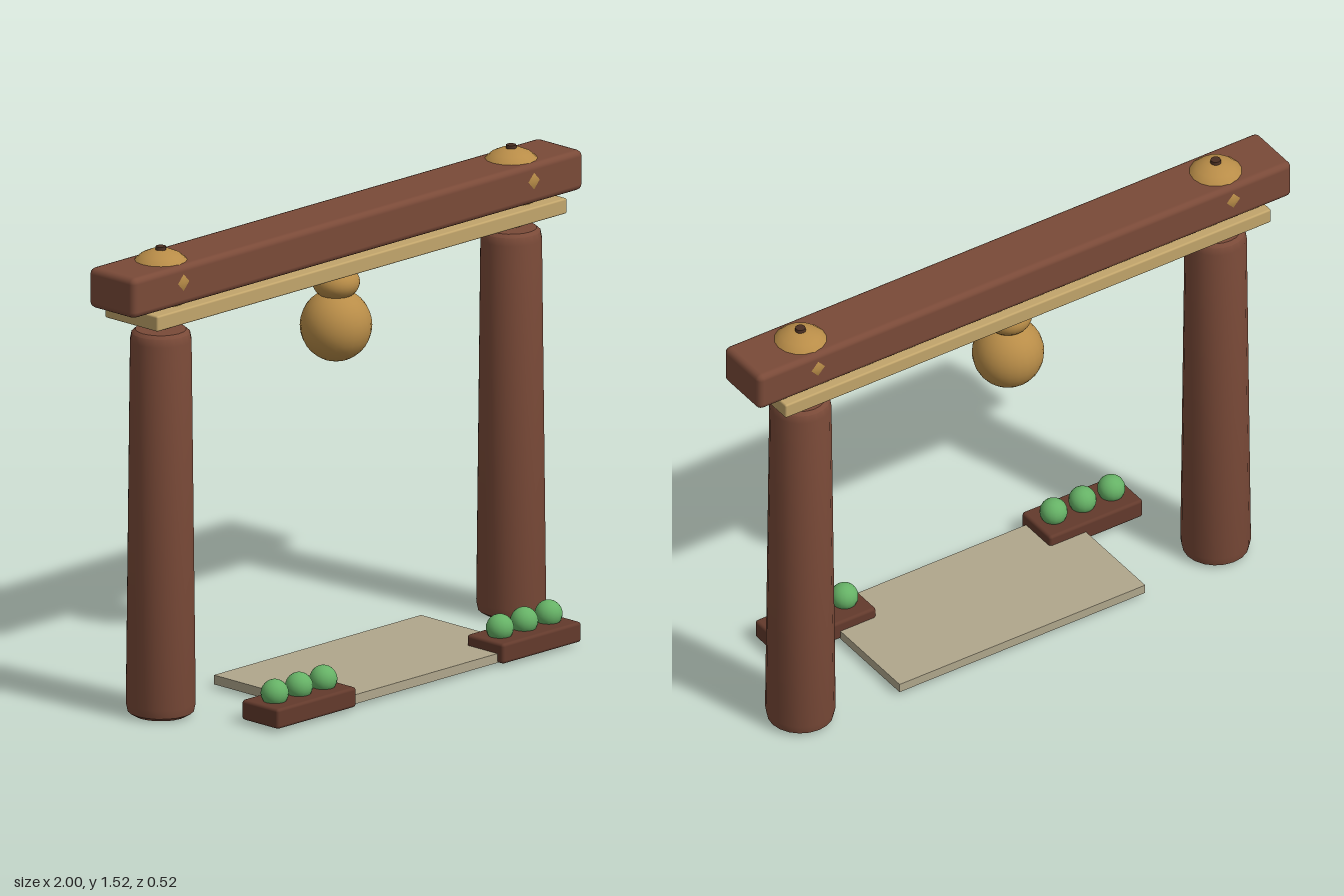
import * as THREE from 'three';
import { RoundedBoxGeometry } from 'three/addons/geometries/RoundedBoxGeometry.js';
import { toCreasedNormals } from 'three/addons/utils/BufferGeometryUtils.js';

const mat = (color) => new THREE.MeshStandardMaterial({ color });

export function createModel() {
  const root = new THREE.Group();
  root.name = 'gateway';

  const wood = mat(0x7a4a38);
  const darkWood = mat(0x633a2c);
  const gold = mat(0xb98d48);
  const straw = mat(0xc2a56b);
  const stone = mat(0xb0a78c);
  const green = mat(0x66b266);
  const knobMat = mat(0x4a2f22);

  const add = (parent, name, geometry, material, x, y, z) => {
    const mesh = new THREE.Mesh(geometry, material);
    mesh.name = name;
    mesh.position.set(x, y, z);
    parent.add(mesh);
    return mesh;
  };
  const box = (w, h, d, r) => new RoundedBoxGeometry(w, h, d, 2, r);
  const ball = (rx, ry, rz, w = 24, h = 16) =>
    new THREE.SphereGeometry(1, w, h).scale(rx, ry, rz);

  const gateZ = -0.15;

  // Crossbeam with a thin plank under it
  add(root, 'crossbeam', box(2, 0.13, 0.2, 0.02), wood, 0, 1.41, gateZ);
  add(root, 'underPlank', box(1.82, 0.05, 0.23, 0.006), straw, 0, 1.315, gateZ);

  // Tapered post profile with softened ends
  const profile = [
    [0, 0], [0.085, 0], [0.104, 0.012], [0.11, 0.04],
    [0.097, 1.215], [0.092, 1.24], [0.08, 1.25], [0, 1.25],
  ].map(([r, y]) => new THREE.Vector2(r, y));
  const postGeometry = toCreasedNormals(new THREE.LatheGeometry(profile, 20), 0.7);

  for (const side of [-1, 1]) {
    const label = side > 0 ? 'left' : 'right';
    const x = side * 0.778;
    add(root, label + 'Post', postGeometry, wood, x, 0, gateZ);

    // Gourd finial running through the beam, just breaking its faces
    const finial = new THREE.Group();
    finial.name = label + 'Finial';
    finial.position.set(x, 0, gateZ);
    root.add(finial);
    add(finial, 'finialTop', ball(0.105, 0.09, 0.105, 16, 10), gold, 0, 1.42, 0);
    add(finial, 'finialBase', ball(0.08, 0.07, 0.08), gold, 0, 1.32, 0);
    add(finial, 'finialKnob', new THREE.CylinderGeometry(0.016, 0.02, 0.03, 12), knobMat, 0, 1.503, 0);

    // Planter with three round shrubs
    const planter = new THREE.Group();
    planter.name = label + 'Planter';
    planter.position.set(side * 0.5, 0, 0.18);
    root.add(planter);
    add(planter, 'planterBox', box(0.35, 0.065, 0.16, 0.01), darkWood, 0, 0.043, 0);
    for (const i of [-1, 0, 1]) {
      add(planter, 'shrub', ball(0.044, 0.044, 0.044, 16, 12), green, i * 0.108, 0.1, 0);
    }
  }

  // Hanging gourd in the middle
  const gourd = new THREE.Group();
  gourd.name = 'hangingGourd';
  gourd.position.z = gateZ;
  root.add(gourd);
  add(gourd, 'gourdBody', ball(0.113, 0.115, 0.113), gold, 0, 1.098, 0);
  add(gourd, 'gourdNeck', ball(0.075, 0.056, 0.075), gold, 0, 1.238, 0);

  // Threshold slab
  add(root, 'thresholdSlab', new THREE.BoxGeometry(0.92, 0.03, 0.465), stone, 0, 0.026, 0.002);

  return root;
}
